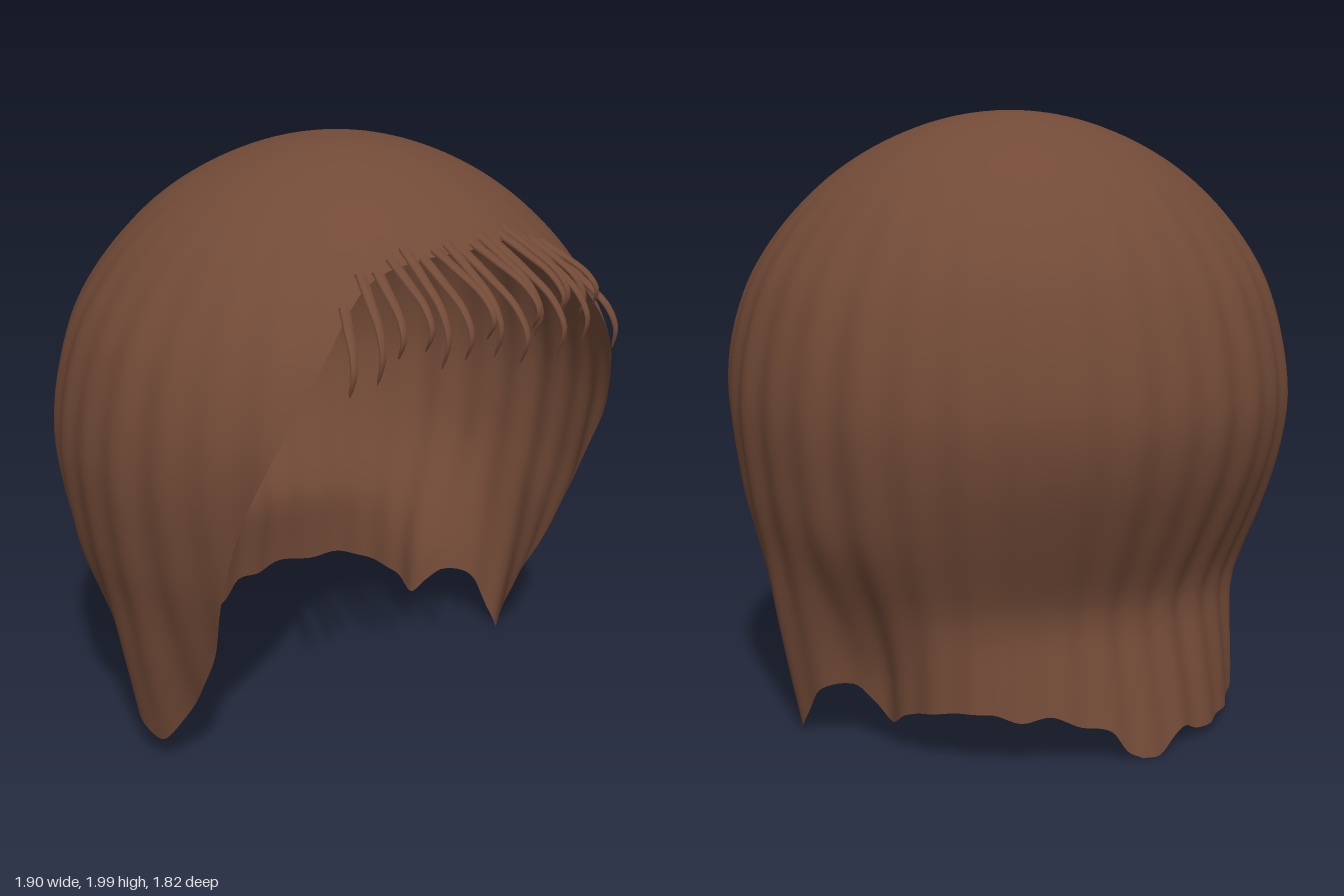
import * as THREE from 'three';

const hairBrown = new THREE.MeshStandardMaterial({ color: 0x724a37, side: THREE.DoubleSide });
hairBrown.name = 'hairBrown';

// Smooth curve through [key, value] points with rising keys
function curve(points) {
  const n = points.length;
  const slope = (i) => {
    const a = points[Math.max(i - 1, 0)], b = points[Math.min(i + 1, n - 1)];
    return (b[1] - a[1]) / (b[0] - a[0]);
  };
  return (k) => {
    let i = 0;
    while (i < n - 2 && k > points[i + 1][0]) i++;
    const [k0, v0] = points[i], [k1, v1] = points[i + 1];
    const d = k1 - k0, t = THREE.MathUtils.clamp((k - k0) / d, 0, 1);
    const t2 = t * t, t3 = t2 * t;
    return v0 * (2 * t3 - 3 * t2 + 1) + v1 * (3 * t2 - 2 * t3)
      + slope(i) * d * (t3 - 2 * t2 + t) + slope(i + 1) * d * (t3 - t2);
  };
}

// Profiles are listed as [height, radius] and run along s = sqrt(drop from crown)
const profile = (points) => curve(points.map(([y, r]) => [Math.sqrt(2 - y), r]));
const sideRadius = profile([[2, 0], [1.95, 0.295], [1.8, 0.58], [1.6, 0.775], [1.4, 0.885],
  [1.1, 0.945], [0.8, 0.92], [0.6, 0.88], [0.4, 0.85], [0.2, 0.815], [0, 0.775]]);
const backRadius = profile([[2, 0], [1.95, 0.28], [1.8, 0.55], [1.6, 0.735], [1.4, 0.84],
  [1.1, 0.9], [0.9, 0.87], [0.7, 0.79], [0.5, 0.7], [0.42, 0.69], [0.2, 0.735], [0, 0.775]]);
const frontRadius = profile([[2, 0], [1.95, 0.29], [1.8, 0.565], [1.74, 0.635], [1.6, 0.77],
  [1.4, 0.89], [1.2, 0.93], [0.95, 0.85], [0.7, 0.74], [0.45, 0.53], [0.2, 0.33], [0, 0.25]]);

// Height of the cut edge by angle from the front, in degrees
const hem = curve([
  [-180, 0.01], [-174, 0.01], [-167, 0.07], [-160, 0.04], [-150, 0.05], [-143, 0.06], [-135, 0.1],
  [-126, 0.17], [-110, 0.17], [-97, 0.19], [-91, 0.13], [-85, 0.1], [-79, 0.2], [-68, 0.45],
  [-62, 0.7], [-57, 0.95], [-50, 1.2], [-43, 1.42], [-36, 1.6], [-30, 1.68], [-18, 1.72],
  [0, 1.73], [18, 1.73], [30, 1.68], [36, 1.6], [43, 1.42], [50, 1.2], [57, 0.95], [62, 0.7],
  [68, 0.45], [79, 0.18], [84, 0.03], [88, 0.02], [97, 0.17], [104, 0.2], [109, 0.15], [114, 0.09],
  [121, 0.14], [134, 0.18], [143, 0.185], [150, 0.16], [158, 0.17], [165, 0.13], [172, 0.11],
  [176, 0.04], [180, 0.01],
]);

// Point on the hair surface at an angle (radians) and s
function surfacePoint(phi, s) {
  const sn = Math.sin(phi), cs = Math.cos(phi), y = 2 - s * s;
  if (s < 1e-4) return new THREE.Vector3(0, 2, 0);
  const depth = cs > 0 ? frontRadius(s) : backRadius(s);
  let r = 1 / Math.hypot(sn / sideRadius(s), cs / depth);
  // hair tucks in sharply behind the side locks near the neck
  const turn = Math.abs(THREE.MathUtils.radToDeg(phi)) - 110;
  const low = 1 - THREE.MathUtils.smoothstep(y, 0.2, 0.72);
  r *= 1 - 0.155 * low * Math.exp(-((turn / (turn < 0 ? 11 : 18)) ** 2));
  // combed grooves
  const grow = THREE.MathUtils.smoothstep(s, 0.3, 1.0);
  r += grow * (0.0055 * Math.sin(34 * phi) + 0.0025 * Math.sin(21 * phi + 1));
  return new THREE.Vector3(r * sn, y, r * cs);
}

// Open cap of hair swept around the head
function capGeometry(columns = 360, rows = 56) {
  const positions = [], index = [];
  for (let j = 0; j <= rows; j++) {
    for (let i = 0; i < columns; i++) {
      const deg = -180 + (360 * i) / columns;
      const s = (Math.sqrt(2 - hem(deg)) * j) / rows;
      positions.push(...surfacePoint(THREE.MathUtils.degToRad(deg), s).toArray());
    }
  }
  for (let j = 0; j < rows; j++) {
    for (let i = 0; i < columns; i++) {
      const k = (i + 1) % columns;
      const a = j * columns + i, b = j * columns + k, c = a + columns, d = b + columns;
      if (j > 0) index.push(a, c, b);
      index.push(b, c, d);
    }
  }
  const g = new THREE.BufferGeometry();
  g.setAttribute('position', new THREE.Float32BufferAttribute(positions, 3));
  g.setIndex(index);
  g.computeVertexNormals();
  // the crown points straight up
  for (let i = 0; i < columns; i++) g.attributes.normal.setXYZ(i, 0, 1, 0);
  return g;
}

// Flattened strand that narrows to its tip
function strandGeometry(points) {
  const segments = 20, sides = 8;
  const path = new THREE.CatmullRomCurve3(points);
  const g = new THREE.TubeGeometry(path, segments, 1, sides);
  const p = g.attributes.position, v = new THREE.Vector3();
  for (let j = 0; j <= segments; j++) {
    const t = j / segments, c = path.getPointAt(t);
    const width = 0.02 * Math.pow(1 - t, 0.5) + 0.002;
    for (let i = 0; i <= sides; i++) {
      const k = j * (sides + 1) + i;
      v.fromBufferAttribute(p, k).sub(c);
      p.setXYZ(k, c.x + v.x * width, c.y + v.y * width * 0.4, c.z + v.z * width * 0.4);
    }
  }
  g.computeVertexNormals();
  return g;
}

export function createModel() {
  const model = new THREE.Group();
  model.name = 'hair';

  const cap = new THREE.Mesh(capGeometry(), hairBrown);
  cap.name = 'hairCap';
  model.add(cap);

  // Fringe strands arching forward and down from the front edge
  const fringe = new THREE.Group();
  fringe.name = 'fringe';
  const count = 18;
  for (let i = 0; i < count; i++) {
    const u = (2 * i) / (count - 1) - 1;
    const deg = u * 36;
    const top = hem(deg) + 0.015 + 0.015 * Math.sin(i * 2.1);
    const root = surfacePoint(THREE.MathUtils.degToRad(deg), Math.sqrt(2 - top));
    const reach = 0.27 - 0.14 * u * u + 0.015 * Math.sin(i * 2.4);
    const drop = 0.26 - 0.05 * u * u + 0.05 * Math.sin(i * 1.9);
    const drift = 0.085 * u;
    const at = (x, y, z) => new THREE.Vector3(root.x + drift * x, root.y - drop * y, root.z + reach * z);
    const strand = new THREE.Mesh(strandGeometry([
      at(0, -0.02, -0.08), at(0.4, 0.2, 0.38), at(0.75, 0.45, 0.82), at(0.95, 0.72, 1), at(1, 1, 0.9),
    ]), hairBrown);
    strand.name = `fringeStrand${i + 1}`;
    fringe.add(strand);
  }
  model.add(fringe);
  return model;
}
